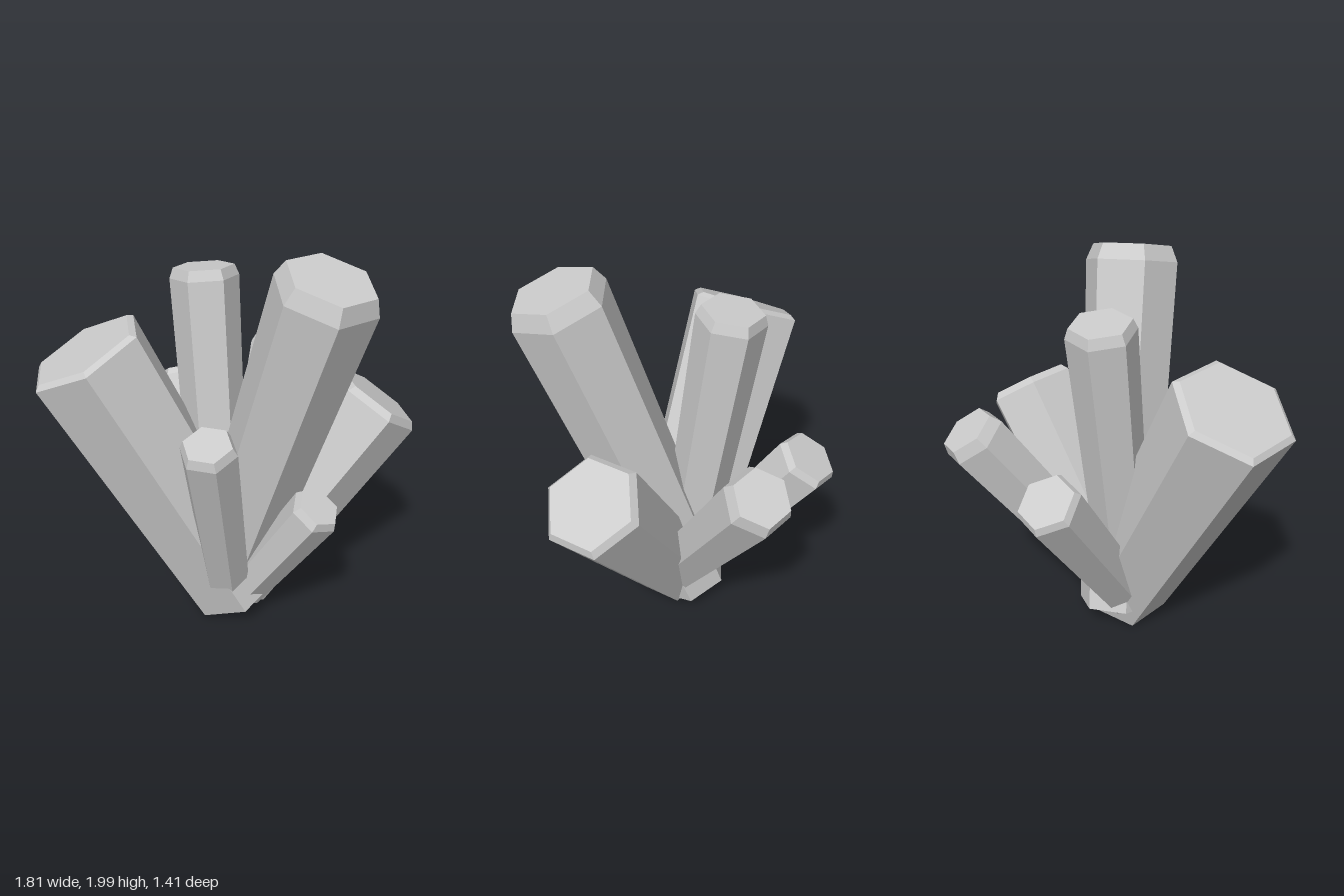
import * as THREE from 'three';

// Each crystal: centre of the base, centre of the shoulder ring, shoulder radius,
// height and inset of the bevelled tip, and twist about its axis in degrees.
const CRYSTALS = [
  { name: 'largeLeaningCrystal', base: [0.04, 0.115, 0.11], top: [-0.67, 1.5, 0.065], r: 0.3, tip: 0.02, inset: 0.03, twist: 0 },
  { name: 'tallFrontCrystal', base: [-0.01, 0.1, 0], top: [0.345, 1.86, 0.46], r: 0.242, tip: 0.08, inset: 0.035, twist: 0 },
  { name: 'wideSideCrystal', base: [0.02, 0.15, 0.09], top: [0.73, 1.15, 0.07], r: 0.245, tip: 0.035, inset: 0.028, twist: 0 },
  { name: 'tallBackCrystal', base: [-0.03, 0.09, 0.07], top: [-0.085, 1.76, -0.17], r: 0.168, tip: 0.05, inset: 0.02, twist: 25 },
  { name: 'backLeftCrystal', base: [0.05, 0.13, 0.1], top: [0.39, 1.2, -0.57], r: 0.165, tip: 0.06, inset: 0.025, twist: 17 },
  { name: 'backRightCrystal', base: [-0.05, 0.13, 0.06], top: [-0.15, 1.06, -0.57], r: 0.16, tip: 0.035, inset: 0.02, twist: 20 },
  { name: 'slimFrontCrystal', base: [-0.02, 0.13, 0.2], top: [-0.165, 1.19, 0.525], r: 0.135, tip: 0.045, inset: 0.02, twist: 5 },
  { name: 'shortFrontCrystal', base: [0.06, 0.13, 0.18], top: [0.35, 0.78, 0.465], r: 0.128, tip: 0.04, inset: 0.02, twist: -15 },
];

const BASE_TAPER = 0.85;
const UP = new THREE.Vector3(0, 1, 0);

// Six-sided shaft, narrower at the base, with a bevelled flat tip
function makeCrystal({ name, base, top, r, tip, inset, twist }, material) {
  const start = new THREE.Vector3(...base);
  const axis = new THREE.Vector3(...top).sub(start);
  const length = axis.length();
  const profile = [
    [0, 0],
    [r * BASE_TAPER, 0],
    [r, length],
    [r - inset, length + tip],
    [0, length + tip],
  ].map(([x, y]) => new THREE.Vector2(x, y));

  const geometry = new THREE.LatheGeometry(profile, 6, THREE.MathUtils.degToRad(twist)).toNonIndexed();
  geometry.computeVertexNormals();

  const mesh = new THREE.Mesh(geometry, material);
  mesh.name = name;
  mesh.position.copy(start);
  mesh.quaternion.setFromUnitVectors(UP, axis.normalize());
  return mesh;
}

export function createModel() {
  const group = new THREE.Group();
  group.name = 'crystalCluster';
  const material = new THREE.MeshStandardMaterial({ color: 0xcccccc, flatShading: true });
  for (const crystal of CRYSTALS) group.add(makeCrystal(crystal, material));
  return group;
}
